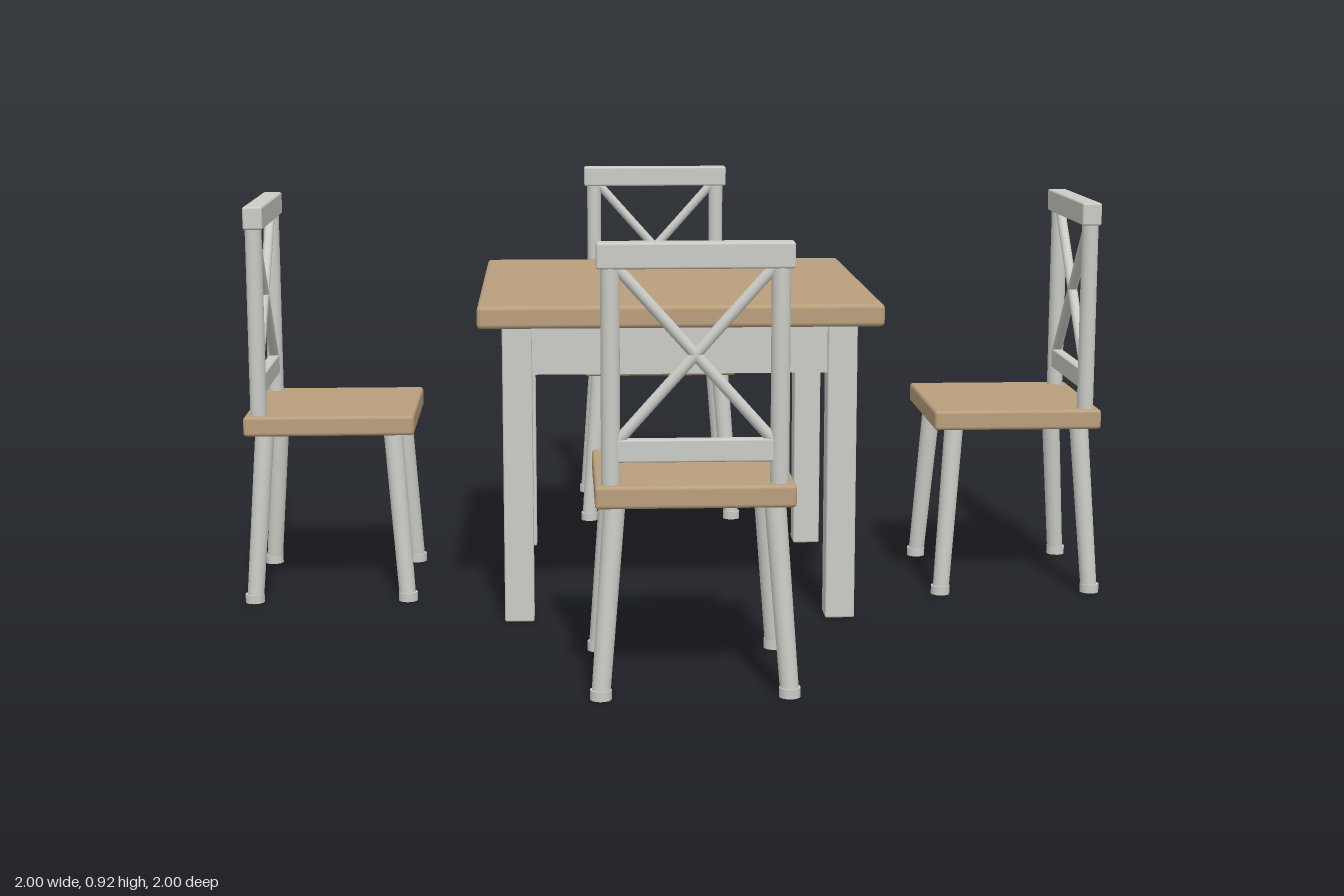
import * as THREE from 'three';
import { RoundedBoxGeometry } from 'three/addons/geometries/RoundedBoxGeometry.js';

export function createModel() {
  const wood = new THREE.MeshStandardMaterial({ color: 0xb99f7c });
  wood.name = 'warm wood';
  const paint = new THREE.MeshStandardMaterial({ color: 0xcbccc6 });
  paint.name = 'pale grey paint';

  const add = (parent, name, geometry, material, x = 0, y = 0, z = 0) => {
    const mesh = new THREE.Mesh(geometry, material);
    mesh.name = name;
    mesh.position.set(x, y, z);
    parent.add(mesh);
    return mesh;
  };
  const block = (w, h, d, r) => new RoundedBoxGeometry(w, h, d, 2, r);

  // Round bar between two points; r0 at the start, r1 at the end
  const bar = (parent, name, a, b, r0, r1 = r0) => {
    const from = new THREE.Vector3(...a), to = new THREE.Vector3(...b);
    const dir = to.clone().sub(from);
    const mid = from.clone().addScaledVector(dir, 0.5);
    const mesh = add(parent, name, new THREE.CylinderGeometry(r1, r0, dir.length(), 16), paint, mid.x, mid.y, mid.z);
    mesh.quaternion.setFromUnitVectors(new THREE.Vector3(0, 1, 0), dir.normalize());
  };

  const makeTable = () => {
    const table = new THREE.Group();
    table.name = 'table';
    add(table, 'tableTop', block(0.894, 0.05, 0.894, 0.01), wood, 0, 0.697, 0);
    for (const x of [-1, 1]) for (const z of [-1, 1]) {
      add(table, 'tableLeg', block(0.066, 0.672, 0.066, 0.004), paint, x * 0.361, 0.336, z * 0.361);
    }
    for (const s of [-1, 1]) {
      add(table, 'apron', new THREE.BoxGeometry(0.67, 0.112, 0.03), paint, 0, 0.617, s * 0.367);
      add(table, 'apron', new THREE.BoxGeometry(0.03, 0.112, 0.67), paint, s * 0.367, 0.617, 0);
    }
    return table;
  };

  // Chair with its backrest toward +z, already set away from the table
  const makeChair = () => {
    const chair = new THREE.Group();
    chair.name = 'chair';
    const cz = 0.797, backZ = 0.959;
    add(chair, 'seat', block(0.4, 0.046, 0.39, 0.008), wood, 0, 0.414, cz);
    for (const x of [-1, 1]) {
      // Splayed legs with small feet
      for (const z of [-1, 1]) {
        bar(chair, 'chairLeg', [x * 0.19, 0.006, 0.8 + z * 0.176], [x * 0.16, 0.4, 0.8 + z * 0.147], 0.019, 0.022);
        add(chair, 'foot', new THREE.CylinderGeometry(0.022, 0.022, 0.02, 16), paint, x * 0.19, 0.01, 0.8 + z * 0.177);
      }
      bar(chair, 'backPost', [x * 0.168, 0.425, backZ], [x * 0.168, 0.875, backZ], 0.019);
      // Diagonals of the crossed back
      bar(chair, 'crossBar', [-x * 0.158, 0.518, backZ], [x * 0.158, 0.872, backZ], 0.0115);
    }
    add(chair, 'topRail', block(0.39, 0.052, 0.045, 0.005), paint, 0, 0.892, 0.957);
    add(chair, 'lowerRail', block(0.32, 0.046, 0.025, 0.004), paint, 0, 0.504, backZ);
    return chair;
  };

  const model = new THREE.Group();
  model.name = 'diningSet';
  model.add(makeTable());
  for (let i = 0; i < 4; i++) {
    const chair = makeChair();
    chair.rotation.y = i * Math.PI / 2;
    model.add(chair);
  }
  return model;
}
